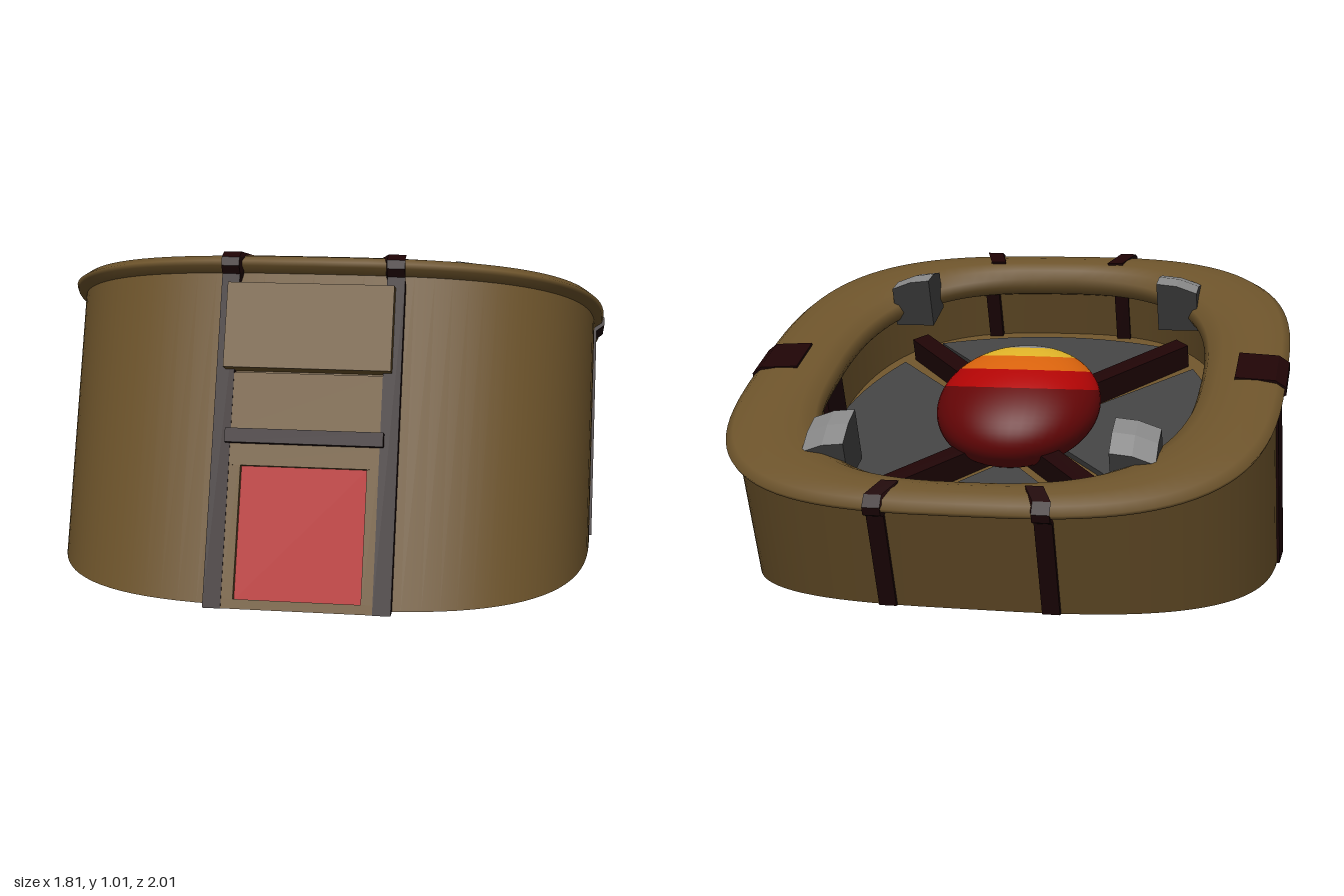
import * as THREE from 'three';

const TILT = THREE.MathUtils.degToRad(22);
const C = 0.06; // centre of the hull along the tilted depth axis
const ground = (z) => -Math.tan(TILT) * z; // tilted-frame height of the ground plane

const mat = (name, color) => {
  const m = new THREE.MeshStandardMaterial({ color });
  m.name = name;
  return m;
};

export function createModel() {
  const brown = mat('brown', 0x6b522a);
  const strapDark = mat('dark strap', 0x1e0405);
  const red = mat('red', 0xb00404);
  const darkRed = mat('dark red', 0x640506);
  const orange = mat('orange', 0xd8620c);
  const yellow = mat('yellow', 0xdfb328);
  const grey = mat('grey', 0x858585);
  const darkGrey = mat('dark grey', 0x414141);

  const model = new THREE.Group();
  const tilted = new THREE.Group();
  tilted.name = 'tiltedHousing';
  tilted.rotation.x = -TILT;
  model.add(tilted);

  const add = (name, geometry, material) => {
    const mesh = new THREE.Mesh(geometry, material);
    mesh.name = name;
    tilted.add(mesh);
    return mesh;
  };

  // Skin through rounded-square rings [half width, half depth, height, squareness]; height null = on the ground
  const loft = (rings, n = 96) => {
    const pos = [], idx = [];
    rings.forEach(([a, b, h, power = 3.15], i) => {
      const se = (v) => Math.sign(v) * Math.pow(Math.abs(v), 2 / power);
      for (let j = 0; j < n; j++) {
        const t = (j / n) * Math.PI * 2;
        const z = b * se(Math.sin(t)) + C;
        pos.push(a * se(Math.cos(t)), h === null ? ground(z) : h, z);
        if (i === rings.length - 1) continue;
        const p = i * n + j, q = i * n + ((j + 1) % n);
        idx.push(p, p + n, q, q, p + n, q + n);
      }
    });
    const g = new THREE.BufferGeometry();
    g.setAttribute('position', new THREE.Float32BufferAttribute(pos, 3));
    g.setIndex(idx);
    g.computeVertexNormals();
    return g;
  };

  // Hull
  add('base', loft([[0, 0, null], [0.87, 0.84, null]]), brown);
  add('outerWall', loft([[0.87, 0.84, null], [0.87, 0.84, 0.66]]), brown);
  add('rim', loft([
    [0.87, 0.84, 0.655], [0.895, 0.87, 0.672], [0.9, 0.875, 0.686], [0.875, 0.855, 0.706],
    [0.81, 0.81, 0.718, 3], [0.75, 0.77, 0.718, 2.8], [0.68, 0.735, 0.705, 2.7], [0.635, 0.712, 0.68, 2.6],
    [0.62, 0.705, 0.65, 2.6], [0.63, 0.715, 0.62, 2.7], [0.67, 0.75, 0.6, 2.8],
  ]), brown);
  add('innerWall', loft([[0.67, 0.75, 0.6, 2.8], [0.67, 0.75, 0.435, 2.8]]), brown);
  add('floor', loft([[0.67, 0.75, 0.435, 2.8], [0, 0, 0.435]]), brown);

  const dropToGround = (g) => {
    const p = g.attributes.position;
    for (let i = 0; i < p.count; i++) if (p.getY(i) < -0.9) p.setY(i, ground(p.getZ(i)));
    g.computeVertexNormals();
  };

  // Box from its bounds in the tilted frame; y0 null = cut off at the ground
  const block = (name, material, x0, x1, y0, y1, z0, z1) => {
    const low = y0 === null ? -1 : y0;
    const g = new THREE.BoxGeometry(x1 - x0, y1 - low, z1 - z0).toNonIndexed();
    g.translate((x0 + x1) / 2, (low + y1) / 2, (z0 + z1) / 2);
    dropToGround(g);
    return add(name, g, material);
  };

  // Straps that climb the outer wall and fold over the rim, leaning inward at the tip
  const strap = (name, angle, x, edge, width, reach) => {
    const s = new THREE.Shape([
      [edge - 0.08, -1], [edge + 0.008, -1], [edge + 0.008, 0.645], [edge + 0.034, 0.665],
      [edge + 0.034, 0.692], [edge, 0.717], [edge - reach, 0.725], [edge - reach, 0.64],
      [edge - 0.08, 0.6],
    ].map(([r, y]) => new THREE.Vector2(r, y)));
    const g = new THREE.ExtrudeGeometry(s, { depth: width, bevelEnabled: false });
    g.translate(0, 0, -width / 2).rotateY(angle).translate(x, 0, C);
    const p = g.attributes.position;
    for (let i = 0; i < p.count; i++) if (p.getY(i) > 0.72) p.setX(i, p.getX(i) - Math.sign(x) * 0.035);
    dropToGround(g);
    add(name, g, strapDark);
  };
  for (const s of [-1, 1]) {
    strap('frontStrap', -Math.PI / 2, s * 0.255, 0.86, 0.055, 0.1);
    strap('backStrap', Math.PI / 2, s * 0.255, 0.84, 0.055, 0.07);
    strap('sideStrap', s > 0 ? 0 : Math.PI, 0, 0.87, 0.17, 0.13);
    // Lower ends on the inside wall
    for (const e of [-1, 1]) {
      const z = C + e * 0.735;
      block('innerStrap', strapDark, s * 0.245 - 0.025, s * 0.245 + 0.025, 0.43, 0.62, z - 0.018, z + 0.018);
    }
    block('innerSideStrap', strapDark, s * 0.665 - 0.015, s * 0.665 + 0.015, 0.43, 0.62, C - 0.085, C + 0.085);
  }

  // Front stack of panels, with the red panel sunk into its frame
  block('upperBox', brown, -0.255, 0.255, 0.348, 0.61, 0.87, 0.972);
  block('middleBox', brown, -0.23, 0.23, 0.165, 0.34, 0.87, 0.926);
  block('crossBar', strapDark, -0.24, 0.24, 0.122, 0.165, 0.87, 0.957);
  block('frameTop', brown, -0.23, 0.23, 0.056, 0.122, 0.87, 0.926);
  block('frameBottom', brown, -0.23, 0.23, null, -0.345, 0.87, 0.926);
  for (const s of [-1, 1]) {
    block('frameSide', brown, s * 0.211 - 0.019, s * 0.211 + 0.019, null, 0.122, 0.87, 0.925);
  }
  block('redPanel', red, -0.195, 0.195, -0.35, 0.06, 0.896, 0.904);

  // Four wedge plates on the floor
  const wedge = (name, pts) => {
    const s = new THREE.Shape();
    s.moveTo(...pts[0]);
    s.lineTo(...pts[1]);
    s.quadraticCurveTo(...pts[2], ...pts[3]);
    s.closePath();
    const g = new THREE.ExtrudeGeometry(s, { depth: 0.02, bevelEnabled: false, curveSegments: 16 });
    g.rotateX(Math.PI / 2).translate(0, 0.455, C);
    add(name, g, darkGrey);
  };
  for (const s of [-1, 1]) {
    const w = 0.41 + s * 0.02;
    wedge('sideFloorPlate', [[s * 0.04, 0], [s * 0.535, -0.457], [s * 0.79, 0], [s * 0.535, 0.457]]);
    wedge('endFloorPlate', [[0, s * 0.2], [w, s * 0.61], [0, s * 0.75], [-w, s * 0.61]]);
  }

  // Diagonal floor straps and corner studs with crowned tops that fall away outward
  for (const sx of [-1, 1]) {
    for (const sz of [-1, 1]) {
      const bar = add('floorStrap', new THREE.BoxGeometry(0.065, 0.09, 0.72), strapDark);
      bar.position.set(sx * 0.24, 0.475, C - 0.035 + sz * 0.31);
      bar.rotation.y = Math.atan2(sx * 0.5, sz * 0.52);

      const g = new THREE.BoxGeometry(0.14, 0.15, 0.15, 2, 1, 2).toNonIndexed();
      const p = g.attributes.position;
      for (let i = 0; i < p.count; i++) {
        const x = p.getX(i), z = p.getZ(i);
        if (p.getY(i) > 0) p.setY(i, 0.09 - 2 * (x * x + z * z) - 0.25 * (x * sx + z * sz));
      }
      g.computeVertexNormals();
      const sides = [darkGrey, darkGrey, grey, darkGrey, darkGrey, darkGrey];
      add('cornerStud', g, sides).position.set(sx * 0.485, 0.675, C + 0.01 + sz * 0.54);
    }
  }

  // Flattened central dome with concentric bands facing up and forward
  const edges = [0, 0.32, 0.64, 0.96, 1.29, Math.PI];
  [grey, yellow, orange, red, darkRed].forEach((m, i) => {
    const g = new THREE.SphereGeometry(1, 48, i === 4 ? 20 : 6, 0, Math.PI * 2, edges[i], edges[i + 1] - edges[i]);
    g.rotateX(0.86).scale(0.277, 0.155, 0.318).translate(0, 0.55, C);
    add('domeBand', g, m);
  });

  return model;
}
